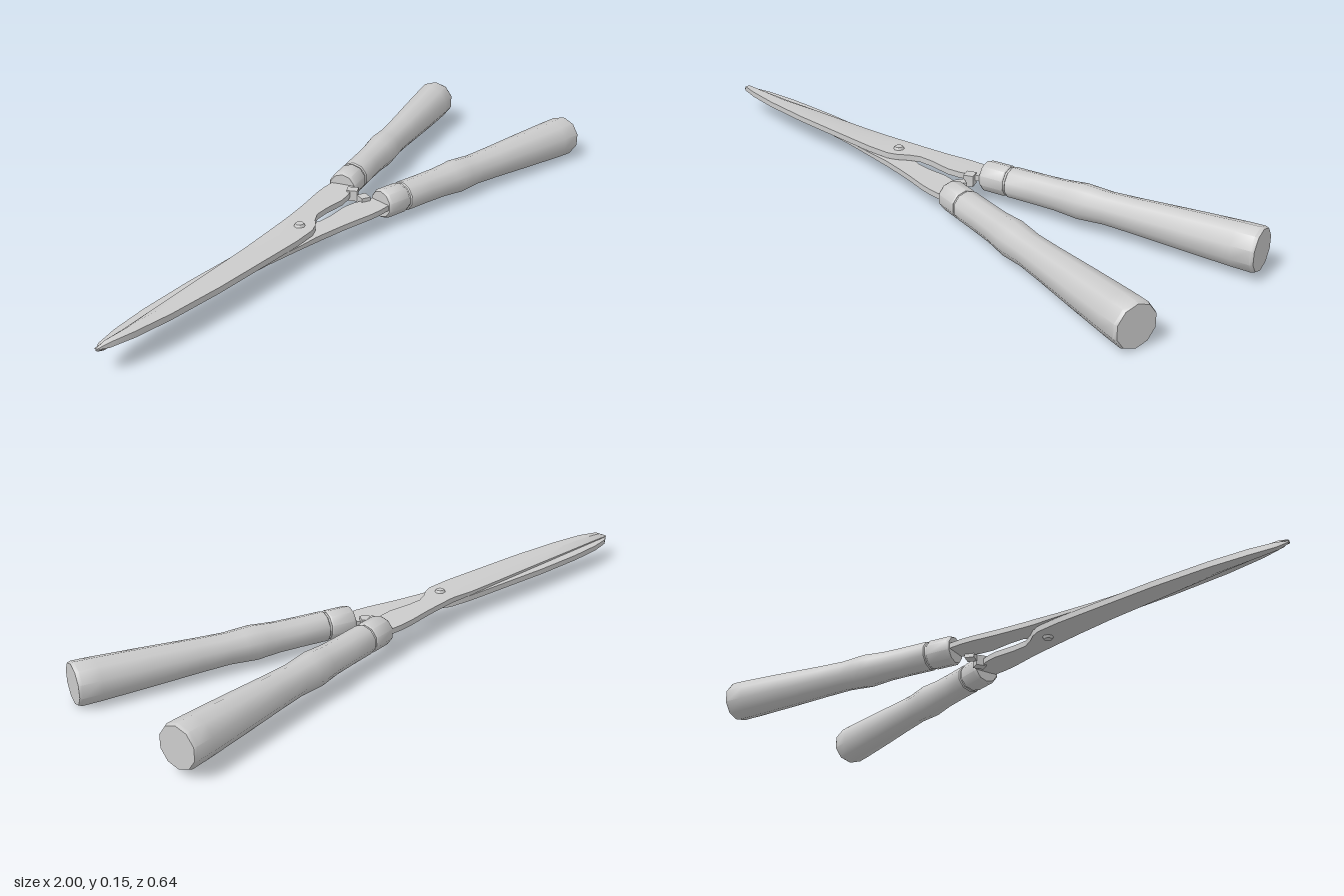
import * as THREE from 'three';
import { toCreasedNormals } from 'three/addons/utils/BufferGeometryUtils.js';

const steel = new THREE.MeshStandardMaterial({ color: 0xcccccc });

function addMesh(parent, name, geometry) {
  const mesh = new THREE.Mesh(geometry, steel);
  mesh.name = name;
  parent.add(mesh);
  return mesh;
}

// Blade and tang: [x, inner z, outer z, edge height, top height] per station
function bladeGeometry() {
  const stations = [
    [-0.817, -0.006, 0.004, 0.003, 0.004],
    [-0.79, -0.008, 0.021, 0.004, 0.016],
    [-0.72, -0.012, 0.037, 0.005, 0.019],
    [-0.6, -0.02, 0.05, 0.006, 0.019],
    [-0.42, -0.032, 0.057, 0.008, 0.019],
    [-0.2, -0.047, 0.056, 0.01, 0.019],
    [-0.08, -0.057, 0.055, 0.013, 0.019],
    [0.0, -0.061, 0.048, 0.018, 0.019],
    [0.03, -0.065, 0.035, 0.018, 0.019],
    [0.06, -0.07, 0.012, 0.018, 0.019],
    [0.093, -0.075, -0.005, 0.018, 0.019],
    [0.142, -0.084, -0.008, 0.018, 0.019],
    [0.216, -0.1, -0.004, 0.018, 0.019],
    [0.26, -0.106, -0.012, 0.018, 0.019],
    [0.33, -0.108, -0.04, 0.018, 0.019],
  ];
  const base = 0.001, n = 5, pos = [], index = [];
  for (const [x, cut, spine, edge, top] of stations) {
    const ridge = cut + (spine - cut) * 0.4;
    pos.push(x, base, cut, x, base, spine, x, top, spine, x, top, ridge, x, edge, cut);
  }
  const last = (stations.length - 1) * n;
  for (let i = 0; i < last; i += n) {
    for (let j = 0; j < n; j++) {
      const k = (j + 1) % n;
      index.push(i + j, i + n + k, i + k, i + j, i + n + j, i + n + k);
    }
  }
  for (let k = 1; k < n - 1; k++) {
    index.push(0, k, k + 1, last, last + k + 1, last + k);
  }
  const g = new THREE.BufferGeometry();
  g.setAttribute('position', new THREE.Float32BufferAttribute(pos, 3));
  g.setIndex(index);
  return toCreasedNormals(g, 0.4);
}

// Ten-sided turned part lying along x, from [distance, radius] pairs
function turned(profile) {
  const points = profile.map(([d, r]) => new THREE.Vector2(r, d));
  const g = new THREE.LatheGeometry(points, 10, Math.PI / 2);
  g.rotateZ(-Math.PI / 2);
  return toCreasedNormals(g, 0.7);
}

// One blade with its tang, stop and handle
function createHalf(name) {
  const half = new THREE.Group();
  half.name = name;
  addMesh(half, 'blade', bladeGeometry());

  const stop = addMesh(half, 'stop', new THREE.BoxGeometry(0.03, 0.034, 0.034));
  stop.position.set(0.295, 0.006, -0.021);
  stop.rotation.y = 0.45;

  const handle = new THREE.Group();
  handle.name = 'handle';
  handle.position.set(0.312, 0.0085, -0.073);
  handle.rotation.y = THREE.MathUtils.degToRad(12.5);
  half.add(handle);

  addMesh(handle, 'ferrule', turned([
    [0, 0], [0, 0.042], [0.008, 0.047], [0.078, 0.047], [0.082, 0.044], [0.082, 0],
  ]));
  addMesh(handle, 'grip', turned([
    [0.08, 0], [0.08, 0.043], [0.088, 0.043], [0.091, 0.047], [0.18, 0.047],
    [0.25, 0.048], [0.29, 0.051], [0.325, 0.054], [0.36, 0.052], [0.41, 0.049],
    [0.5, 0.052], [0.65, 0.059], [0.8, 0.065], [0.856, 0.066], [0.866, 0.062], [0.866, 0],
  ]));
  return half;
}

export function createModel() {
  const model = new THREE.Group();
  model.name = 'shears';

  const body = new THREE.Group();
  body.name = 'shearsBody';
  body.position.set(-0.185, 0.0745, 0.09);
  body.rotation.y = THREE.MathUtils.degToRad(4.5);
  model.add(body);

  // The lower half is the upper one turned over about the long axis
  const upper = createHalf('upperHalf');
  const lower = createHalf('lowerHalf');
  lower.rotation.x = Math.PI;
  body.add(upper, lower);

  // Pivot bolt with a head on each side
  addMesh(body, 'pivotPin', new THREE.CylinderGeometry(0.009, 0.009, 0.05, 8));
  for (const side of [1, -1]) {
    const head = addMesh(body, 'pivotHead', toCreasedNormals(
      new THREE.CylinderGeometry(0.013, 0.017, 0.008, 8), 0.9));
    head.position.y = side * 0.023;
    if (side < 0) head.rotation.x = Math.PI;
  }
  return model;
}
